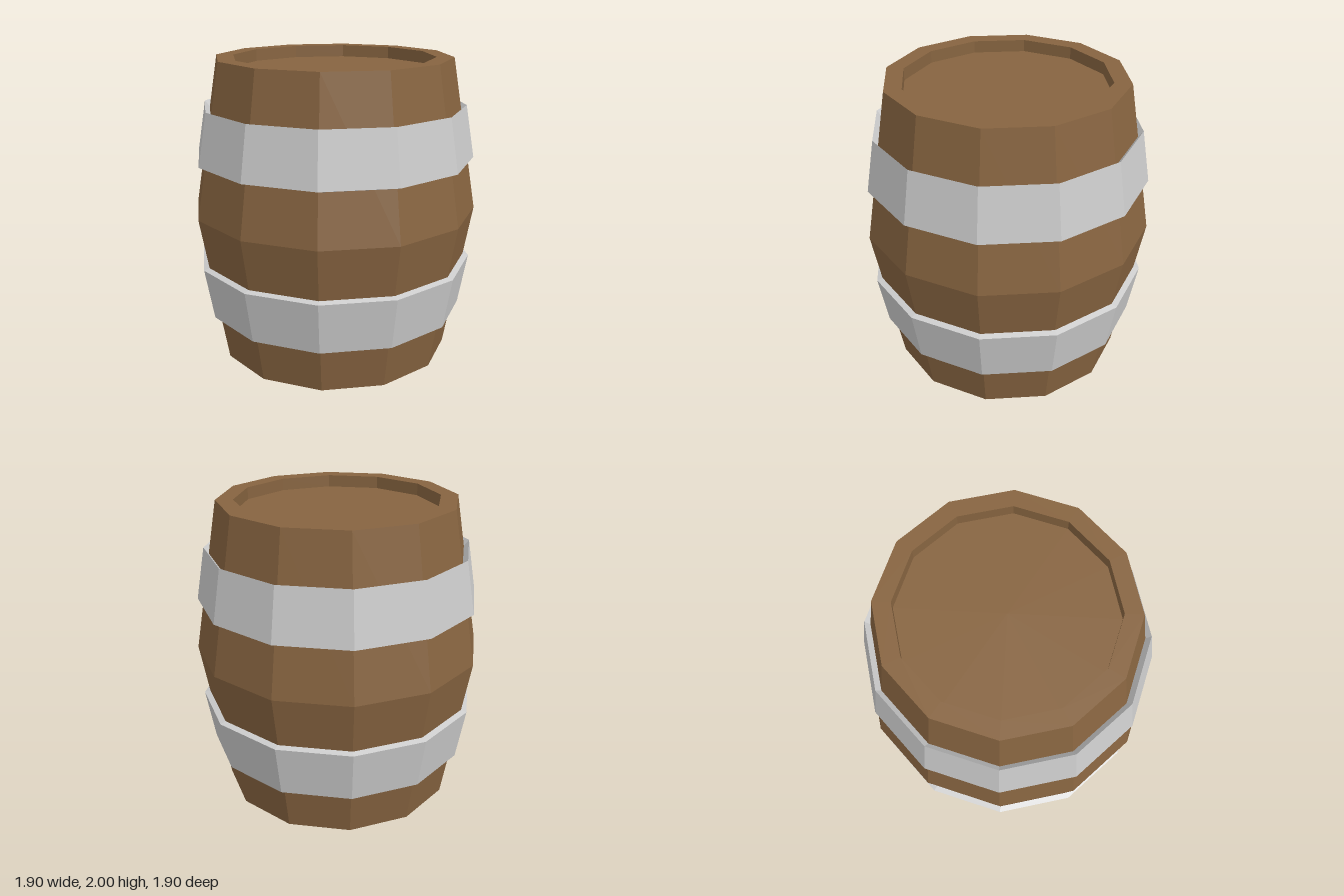
import * as THREE from 'three';

const SIDES = 12;

// Low-poly turned part; profile runs from bottom to top as [radius, y]
function turned(name, profile, color) {
  const points = profile.map(([r, y]) => new THREE.Vector2(r, y));
  const mesh = new THREE.Mesh(
    new THREE.LatheGeometry(points, SIDES),
    new THREE.MeshStandardMaterial({ color, flatShading: true })
  );
  mesh.name = name;
  return mesh;
}

// Mirror a profile about mid-height, keeping the bottom-to-top order
const mirrored = (profile) => profile.map(([r, y]) => [r, 2 - y]).reverse();

export function createModel() {
  const group = new THREE.Group();
  group.name = 'barrel';

  // Wooden body with a recessed lid at each end
  const upperHalf = [[0.778, 2], [0.665, 2], [0.665, 1.92], [0, 1.92]];
  group.add(turned('woodenBody', [...mirrored(upperHalf), [0.95, 1], ...upperHalf], 0x876440));

  // Metal hoops: the narrow edge is bevelled inwards, the wide edge meets the wood
  const hoop = [[0.885, 1.333], [0.93, 1.347], [0.87, 1.693], [0.835, 1.65]];
  group.add(turned('upperHoop', hoop, 0xcccccc));
  group.add(turned('lowerHoop', mirrored(hoop), 0xcccccc));

  return group;
}
